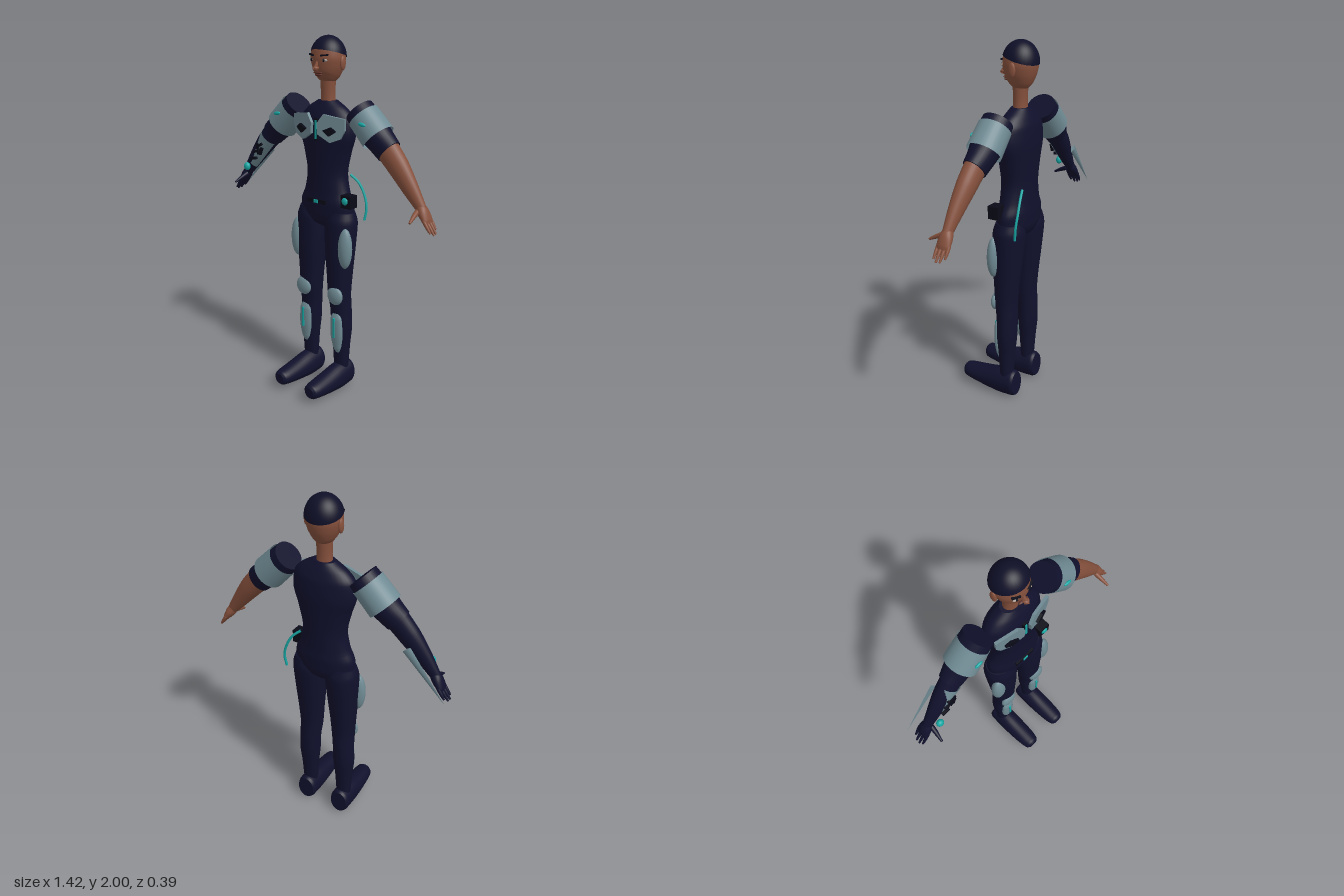
import * as THREE from 'three';

const mat = (name, color, side = THREE.FrontSide) => {
  const m = new THREE.MeshStandardMaterial({ color, side });
  m.name = name;
  return m;
};
const V = (x, y, z) => new THREE.Vector3(x, y, z);

// Smooth closed tube of elliptical sections [x, y, z, ra, rb]; rb lies along axis b
function loft(rows, b = V(0, 0, 1), steps = 24, n = 28) {
  const mid = new THREE.CatmullRomCurve3(rows.map(r => V(r[0], r[1], r[2])));
  const rad = new THREE.CatmullRomCurve3(rows.map(r => V(r[3], r[4], 0)));
  const pos = [], idx = [];
  for (let i = 0; i <= steps; i++) {
    const u = i / steps, c = mid.getPoint(u), r = rad.getPoint(u), t = mid.getTangent(u);
    const a = t.clone().cross(b).normalize(), bb = a.clone().cross(t);
    for (let j = 0; j < n; j++) {
      const q = j / n * Math.PI * 2;
      const p = c.clone().addScaledVector(a, Math.cos(q) * r.x).addScaledVector(bb, Math.sin(q) * r.y);
      pos.push(p.x, p.y, p.z);
    }
  }
  for (let i = 0; i < steps; i++) for (let j = 0; j < n; j++) {
    const k = (j + 1) % n, p = i * n, q = p + n;
    idx.push(p + j, q + j, p + k, p + k, q + j, q + k);
  }
  // End caps on their own vertices, so their rims stay sharp
  [0, steps].forEach(i => {
    const base = pos.length / 3, c = mid.getPoint(i / steps);
    pos.push(c.x, c.y, c.z, ...pos.slice(i * n * 3, (i + 1) * n * 3));
    for (let j = 0; j < n; j++) {
      const p = base + 1 + j, q = base + 1 + (j + 1) % n;
      idx.push(base, i ? q : p, i ? p : q);
    }
  });
  const g = new THREE.BufferGeometry();
  g.setAttribute('position', new THREE.Float32BufferAttribute(pos, 3));
  g.setIndex(idx);
  g.computeVertexNormals();
  return g;
}

const ball = (rx, ry, rz) => new THREE.SphereGeometry(1, 24, 16).scale(rx, ry, rz);
const box = (w, h, d) => new THREE.BoxGeometry(w, h, d);
const plate = (pts, depth) => new THREE.ExtrudeGeometry(
  new THREE.Shape(pts.map(p => new THREE.Vector2(p[0], p[1]))), { depth, bevelEnabled: false });

export function createModel() {
  const suit = mat('navy suit', 0x10102c), dark = mat('black detail', 0x0a0a18);
  const skin = mat('brown skin', 0x85503c), lip = mat('dark lips', 0x5c3028);
  const armor = mat('grey armour', 0x6f8a93, THREE.DoubleSide), teal = mat('teal glow', 0x18a8a4);
  const white = mat('eye white', 0xa89a92);
  const root = new THREE.Group();
  const add = (name, geo, m, x = 0, y = 0, z = 0, parent = root) => {
    const mesh = new THREE.Mesh(geo, m);
    mesh.name = name;
    mesh.position.set(x, y, z);
    parent.add(mesh);
    return mesh;
  };

  // Torso and neck
  add('torso', loft([
    [0, 0.975, -0.09, 0.03, 0.03], [0, 1.0, -0.09, 0.11, 0.07], [0, 1.05, -0.09, 0.175, 0.088],
    [0, 1.11, -0.09, 0.175, 0.09], [0, 1.18, -0.09, 0.145, 0.086], [0, 1.28, -0.09, 0.126, 0.085],
    [0, 1.4, -0.09, 0.15, 0.089], [0, 1.5, -0.09, 0.178, 0.092], [0, 1.58, -0.09, 0.17, 0.084],
    [0, 1.63, -0.09, 0.125, 0.065], [0, 1.668, -0.09, 0.06, 0.045]], undefined, 44, 36), suit);
  add('neck', loft([[0, 1.62, -0.092, 0.046, 0.038], [0, 1.7, -0.09, 0.04, 0.036],
    [0, 1.82, -0.09, 0.046, 0.042]]), skin);

  // Head and face
  add('head', loft([
    [0, 1.763, -0.065, 0.02, 0.02], [0, 1.772, -0.07, 0.042, 0.045], [0, 1.8, -0.08, 0.066, 0.07],
    [0, 1.84, -0.087, 0.084, 0.084], [0, 1.885, -0.09, 0.093, 0.091], [0, 1.93, -0.09, 0.087, 0.087],
    [0, 1.965, -0.09, 0.064, 0.066], [0, 1.985, -0.09, 0.03, 0.03]], undefined, 32, 32), skin);
  add('hair', new THREE.SphereGeometry(1, 32, 16, 0, Math.PI * 2, 0, 1.41)
    .rotateX(-0.23).scale(0.097, 0.111, 0.095), mat('navy hair', 0x0f0f28, THREE.DoubleSide), 0, 1.889, -0.09);
  const nose = add('nose', new THREE.ConeGeometry(0.02, 0.065, 4), skin, 0, 1.858, 0.002);
  nose.rotation.x = -0.35;
  nose.scale.x = 0.8;
  add('noseTip', ball(0.016, 0.011, 0.018), skin, 0, 1.838, 0.008);
  add('upperLip', ball(0.029, 0.006, 0.01), lip, 0, 1.814, -0.008);
  add('lowerLip', ball(0.023, 0.007, 0.01), lip, 0, 1.803, -0.012);

  for (const s of [1, -1]) {
    const side = s > 0 ? 'left' : 'right';
    const part = (name, geo, m, x, y, z, parent) =>
      add(side + name, geo, m, s * (x || 0), y, z, parent);

    const brow = part('Eyebrow', box(0.042, 0.008, 0.012), dark, 0.042, 1.903, -0.008);
    brow.rotation.set(0, s * 0.4, s * 0.1);
    part('Eye', ball(0.018, 0.008, 0.01), white, 0.04, 1.878, -0.013);
    part('Pupil', ball(0.007, 0.008, 0.006), dark, 0.04, 1.878, -0.006);
    part('Ear', ball(0.011, 0.037, 0.02), skin, 0.094, 1.862, -0.095);

    // Leg and boot
    part('Leg', loft([
      [0.1, 1.075, -0.09, 0.08, 0.07], [0.1, 1.01, -0.088, 0.096, 0.086], [0.102, 0.85, -0.08, 0.087, 0.08],
      [0.104, 0.7, -0.076, 0.075, 0.068], [0.105, 0.6, -0.075, 0.068, 0.063], [0.111, 0.5, -0.083, 0.063, 0.058],
      [0.115, 0.4, -0.085, 0.064, 0.056], [0.116, 0.28, -0.085, 0.053, 0.046],
      [0.116, 0.12, -0.085, 0.044, 0.036]].map(r => [s * r[0], ...r.slice(1)]), undefined, 32), suit);
    part('Boot', loft([
      [0.116, 0.088, -0.148, 0.052, 0.07], [0.116, 0.087, -0.13, 0.06, 0.079], [0.116, 0.083, -0.06, 0.062, 0.08],
      [0.116, 0.078, 0.05, 0.061, 0.064], [0.116, 0.077, 0.15, 0.054, 0.048], [0.116, 0.077, 0.185, 0.045, 0.042],
      [0.116, 0.077, 0.198, 0.03, 0.03]].map(r => [s * r[0], ...r.slice(1)]), V(0, 1, 0)), suit);

    // Leg armour
    part('ThighPlate', ball(0.043, 0.115, 0.035), armor, 0.172, 0.885, -0.035);
    part('KneePad', ball(0.052, 0.054, 0.024), armor, 0.117, 0.597, -0.02);
    part('ShinPlate', loft([
      [0.122, 0.24, -0.042, 0.012, 0.006], [0.12, 0.27, -0.04, 0.027, 0.016], [0.118, 0.36, -0.036, 0.042, 0.022],
      [0.116, 0.45, -0.034, 0.038, 0.02], [0.114, 0.485, -0.036, 0.024, 0.01]].map(r => [s * r[0], ...r.slice(1)])), armor);
    part('ShinLight', box(0.011, 0.12, 0.008), teal, 0.117, 0.4, -0.012);

    // Arm
    const armRows = rows => loft(rows.map(r => [s * r[0], ...r.slice(1)]));
    part('UpperArm', armRows([
      [0.21, 1.632, -0.09, 0.078, 0.08], [0.285, 1.557, -0.09, 0.083, 0.085],
      [0.36, 1.487, -0.089, 0.075, 0.068], [0.408, 1.445, -0.085, 0.071, 0.058]]), suit);
    const limb = s > 0 ? skin : suit;
    part('Forearm', armRows([
      [0.395, 1.457, -0.085, 0.066, 0.052], [0.47, 1.378, -0.081, 0.059, 0.048],
      [0.55, 1.28, -0.076, 0.045, 0.036], [0.62, 1.19, -0.074, 0.028, 0.024]]), limb);
    part('Palm', armRows([
      [0.607, 1.207, -0.074, 0.026, 0.023], [0.632, 1.172, -0.075, 0.027, 0.036],
      [0.655, 1.138, -0.076, 0.019, 0.038], [0.664, 1.124, -0.076, 0.012, 0.034]]), limb);
    [[-0.107, 0.687, 1.09], [-0.087, 0.702, 1.074], [-0.066, 0.704, 1.072], [-0.046, 0.695, 1.083]].forEach(([z, x, y], i) =>
      part('Finger' + (i + 1), armRows([[0.65, 1.143, z, 0.01, 0.009], [(0.65 + x) / 2, (1.143 + y) / 2, z, 0.009, 0.0085],
        [x, y, z, 0.005, 0.005]]), limb));
    part('Thumb', loft([[s * 0.61, 1.18, -0.055, 0.014, 0.014], [s * 0.614, 1.165, -0.02, 0.012, 0.012],
      [s * 0.622, 1.14, 0.03, 0.006, 0.006]], V(0, 1, 0)), limb);

    // Shoulder armour
    const pauldron = part('Pauldron', new THREE.CylinderGeometry(0.086, 0.09, 0.14, 32, 1, true), armor, 0.287, 1.556, -0.09);
    pauldron.quaternion.setFromUnitVectors(V(0, 1, 0), V(-s * 0.7, 0.714, 0).normalize());
    const gem = part('PauldronLight', ball(0.024, 0.01, 0.008), teal, 0.295, 1.578, -0.002);
    gem.rotation.z = -s * 0.15;

    // Chest plate with dark diamond
    const chest = new THREE.Group();
    chest.name = side + 'ChestPlate';
    chest.position.set(s * 0.09, 1.53, -0.008);
    chest.rotation.y = s * 0.24;
    root.add(chest);
    add('plate', plate([[0.085, 0.06], [-0.04, 0.078], [-0.077, 0.03], [-0.072, -0.028], [0, -0.068],
      [0.06, -0.045], [0.085, 0]].map(p => [s * p[0], p[1]]), 0.016), armor, 0, 0, 0, chest);
    add('diamond', plate([[0.04, 0], [0.008, 0.022], [-0.037, 0.002], [0, -0.026]].map(p => [s * p[0], p[1]]), 0.018),
      dark, 0, -0.006, 0.012, chest);
  }

  // Chest light and belt
  add('chestStrip', box(0.026, 0.115, 0.012), dark, 0, 1.523, 0.003);
  add('chestLight', box(0.011, 0.1, 0.012), teal, 0, 1.523, 0.008);
  add('beltPlate', box(0.125, 0.022, 0.016), dark, 0, 1.132, -0.002);
  add('beltLight', box(0.03, 0.018, 0.009), teal, 0, 1.132, 0.006);
  add('pouch', box(0.065, 0.07, 0.06), dark, 0.177, 1.15, -0.055);
  add('pouchLight', ball(0.02, 0.02, 0.01), teal, 0.175, 1.155, -0.024);

  // Hose over the left hip
  const hose = new THREE.CatmullRomCurve3([V(0.1, 1.265, -0.165), V(0.145, 1.225, -0.18),
    V(0.18, 1.16, -0.188), V(0.198, 1.09, -0.186), V(0.192, 1.02, -0.178)]);
  add('hipHose', new THREE.TubeGeometry(hose, 24, 0.007, 8), teal);

  // Right forearm guard, marks, light and blade
  const up = new THREE.Quaternion().setFromUnitVectors(V(0, 1, 0), V(0.12, 0.145, 0).normalize());
  const guard = add('forearmGuard', new THREE.CylinderGeometry(0.062, 0.042, 0.22, 20, 1, true, -1.25, 2.5)
    .scale(1, 1, 0.88), armor, -0.497, 1.338, -0.08);
  guard.quaternion.copy(up);
  [[-0.465, 1.375, 0.045, 0.014, 0.5], [-0.482, 1.35, 0.016, 0.065, 0.2], [-0.495, 1.335, 0.05, 0.014, 0.3],
    [-0.46, 1.34, 0.014, 0.045, -0.4], [-0.52, 1.29, 0.045, 0.016, 0.2]].forEach(([x, y, w, h, a], i) => {
    add('guardMark' + (i + 1), box(w, h, 0.016), dark, x, y, -0.03).rotation.z = a;
  });
  add('wristLight', ball(0.021, 0.024, 0.018), teal, -0.572, 1.235, -0.022);
  const blade = add('forearmBlade', new THREE.ConeGeometry(0.026, 0.33, 4).scale(1, 1, 0.45), armor, -0.597, 1.22, -0.151);
  blade.quaternion.setFromUnitVectors(V(0, 1, 0), V(-0.66, -0.75, 0).normalize());
  return root;
}
